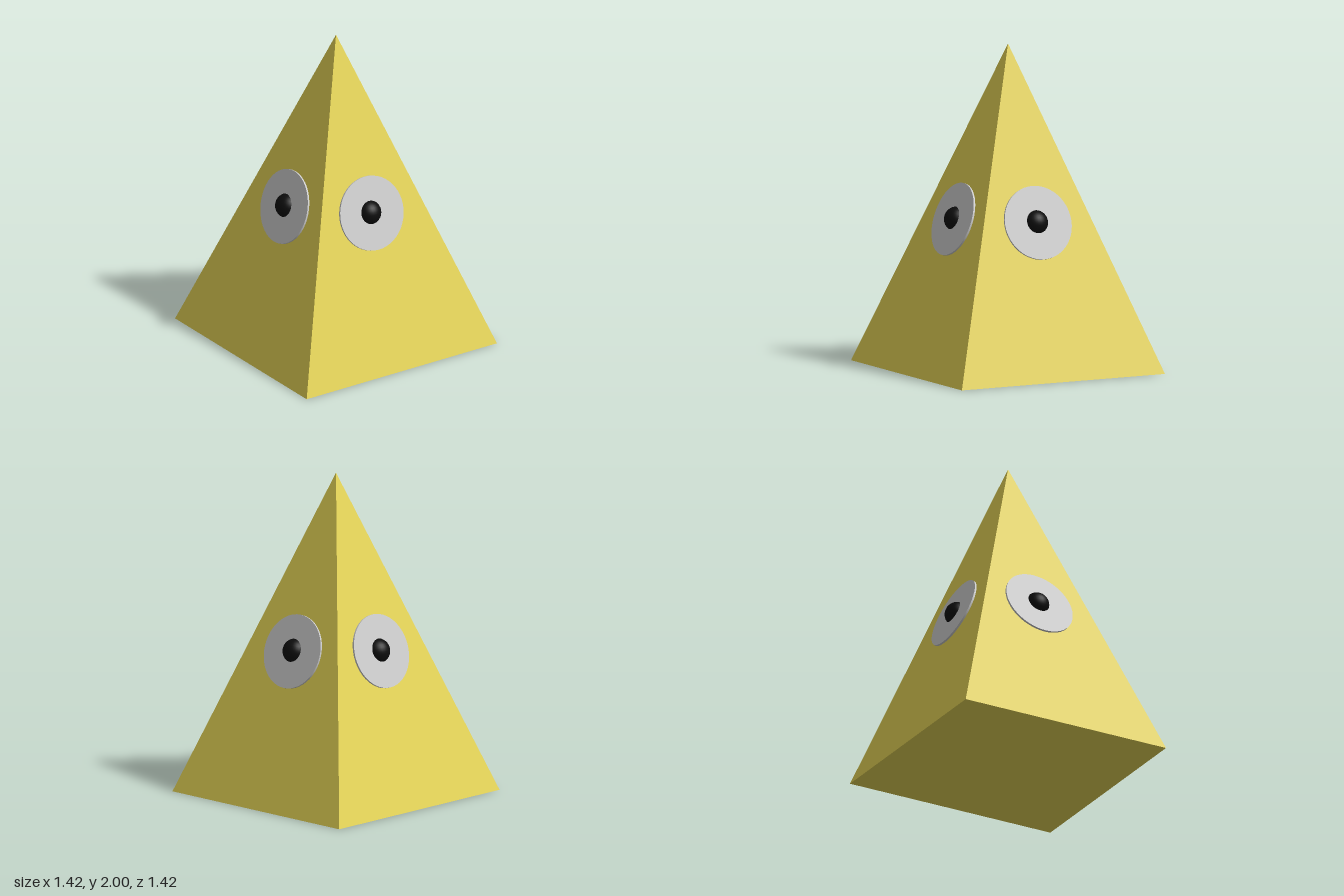
import * as THREE from 'three';

const paint = (color, flatShading = false) => {
  const m = new THREE.MeshStandardMaterial({ flatShading });
  m.color.set(color);
  return m;
};

export function createModel() {
  const model = new THREE.Group();
  const yellow = paint(0xe5d455, true);
  const grey = paint(0xcccccc);
  const black = paint(0x0d0d0d);

  // Square pyramid with a very slight twist off the axes
  const twist = -0.007;
  const body = new THREE.Mesh(new THREE.ConeGeometry(1, 2, 4), yellow);
  body.name = 'pyramidBody';
  body.position.y = 1;
  body.rotation.y = Math.PI / 4 + twist;
  model.add(body);

  // One eye on each sloping face
  const eyeHeight = 0.94;
  const apothem = Math.SQRT1_2;
  const slope = Math.atan(apothem / 2);
  const discGeometry = new THREE.CylinderGeometry(0.23, 0.23, 0.03, 48).rotateX(Math.PI / 2);
  const pupilGeometry = new THREE.SphereGeometry(0.078, 32, 16);
  ['front', 'left', 'back', 'right'].forEach((side, i) => {
    const turn = new THREE.Group();
    turn.name = side + 'Eye';
    turn.rotation.y = i * Math.PI / 2 + twist;

    // Seat the eye on the face, tilted back with it
    const eye = new THREE.Group();
    eye.name = 'eyeSeat';
    eye.position.set(0, eyeHeight, apothem * (1 - eyeHeight / 2));
    eye.rotation.x = -slope;

    const disc = new THREE.Mesh(discGeometry, grey);
    disc.name = 'eyeDisc';
    disc.position.z = -0.003;

    const pupil = new THREE.Mesh(pupilGeometry, black);
    pupil.name = 'pupil';
    pupil.position.set(-0.004, 0.006, -0.018);

    eye.add(disc, pupil);
    turn.add(eye);
    model.add(turn);
  });

  return model;
}
